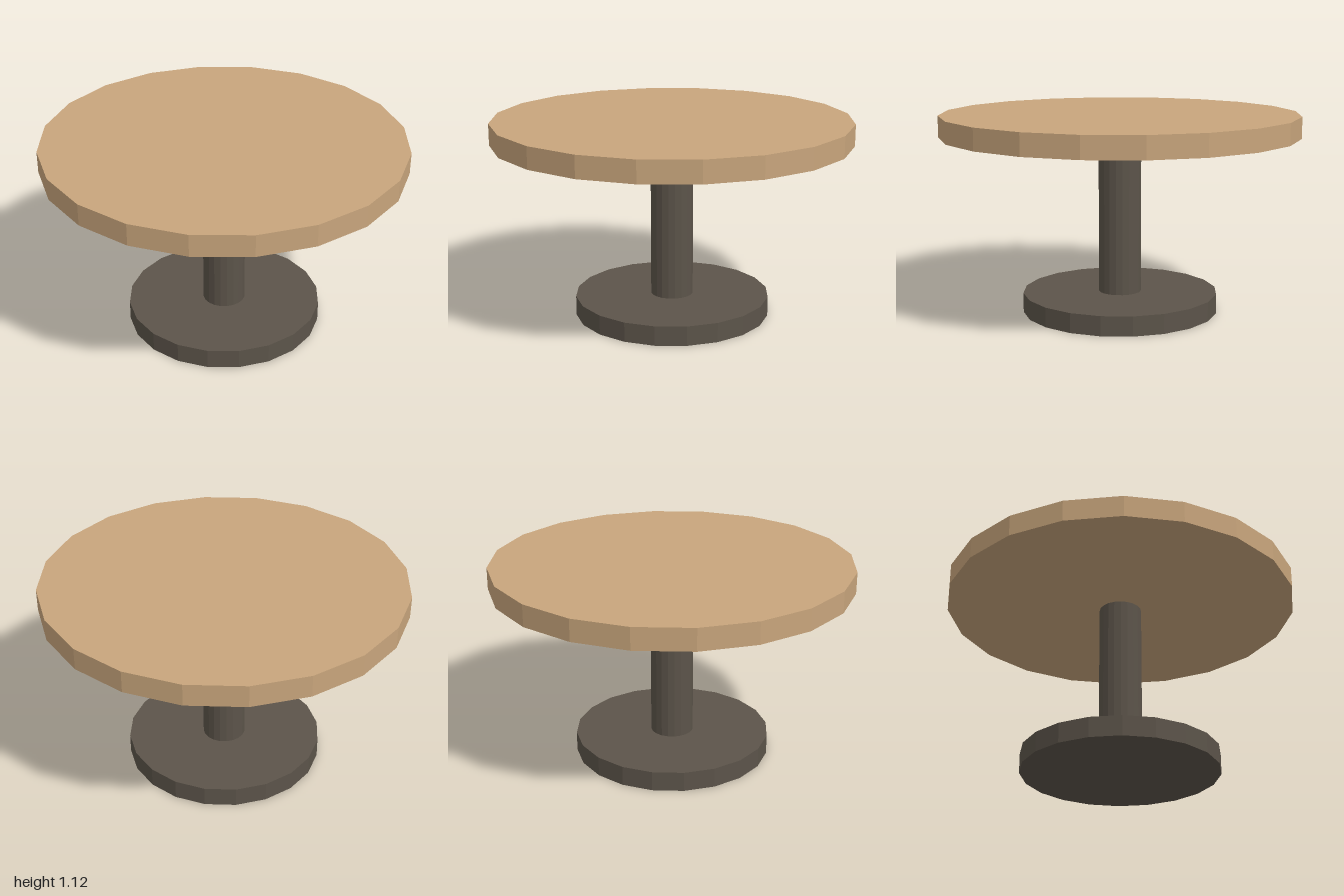
import * as THREE from 'three';

export function createModel() {
  const model = new THREE.Group();
  model.name = 'pedestalTable';

  const wood = new THREE.MeshStandardMaterial({ color: 0xc8a57c });
  wood.name = 'lightWood';
  const metal = new THREE.MeshStandardMaterial({ color: 0x5c544a });
  metal.name = 'darkMetal';

  // Faceted upright disc or post between two heights
  function addDisc(name, radius, bottom, top, material) {
    const geometry = new THREE.CylinderGeometry(radius, radius, top - bottom, 20).toNonIndexed();
    geometry.computeVertexNormals();
    const mesh = new THREE.Mesh(geometry, material);
    mesh.name = name;
    mesh.position.y = (bottom + top) / 2;
    model.add(mesh);
  }

  addDisc('base', 0.55, 0, 0.11, metal);
  addDisc('column', 0.12, 0.11, 1.0, metal);
  addDisc('tabletop', 1, 1.0, 1.12, wood);

  return model;
}
